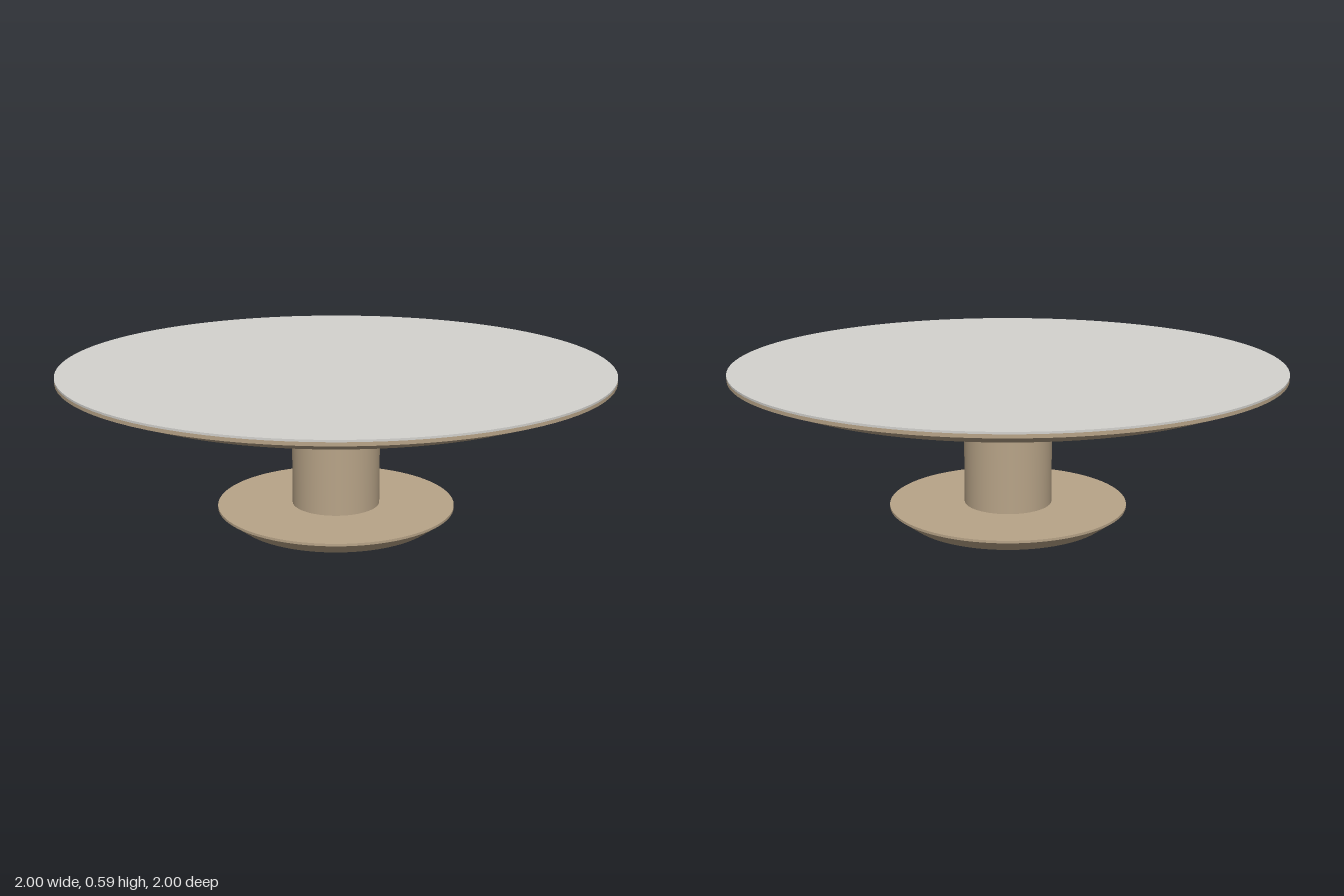
import * as THREE from 'three';

const SEGMENTS = 96;

export function createModel() {
  const group = new THREE.Group();
  const wood = new THREE.MeshStandardMaterial({ color: 0xb8a488 });
  wood.name = 'warm wood';
  const grey = new THREE.MeshStandardMaterial({ color: 0xd4d3cf });
  grey.name = 'pale grey surface';

  // Round section from y0 to y1; caps close it unless open is set
  function disc(name, rBottom, rTop, y0, y1, material, open = false) {
    const geometry = new THREE.CylinderGeometry(rTop, rBottom, y1 - y0, SEGMENTS, 1, open);
    const mesh = new THREE.Mesh(geometry, material);
    mesh.name = name;
    mesh.position.y = (y0 + y1) / 2;
    group.add(mesh);
  }

  // Foot: bevelled underside with a thin upright rim
  disc('footBevel', 0.375, 0.442, 0, 0.049, wood);
  disc('footRim', 0.442, 0.442, 0.049, 0.058, wood);

  // Central column and the collar under the top
  disc('column', 0.163, 0.163, 0.058, 0.486, wood, true);
  disc('collar', 0.442, 0.442, 0.486, 0.527, wood);

  // Table top: bevelled underside, upright rim, pale surface
  disc('topBevel', 0.89, 1, 0.527, 0.569, wood);
  disc('topRim', 1, 1, 0.569, 0.581, wood);
  disc('topSurface', 1, 1, 0.581, 0.588, grey);

  return group;
}
